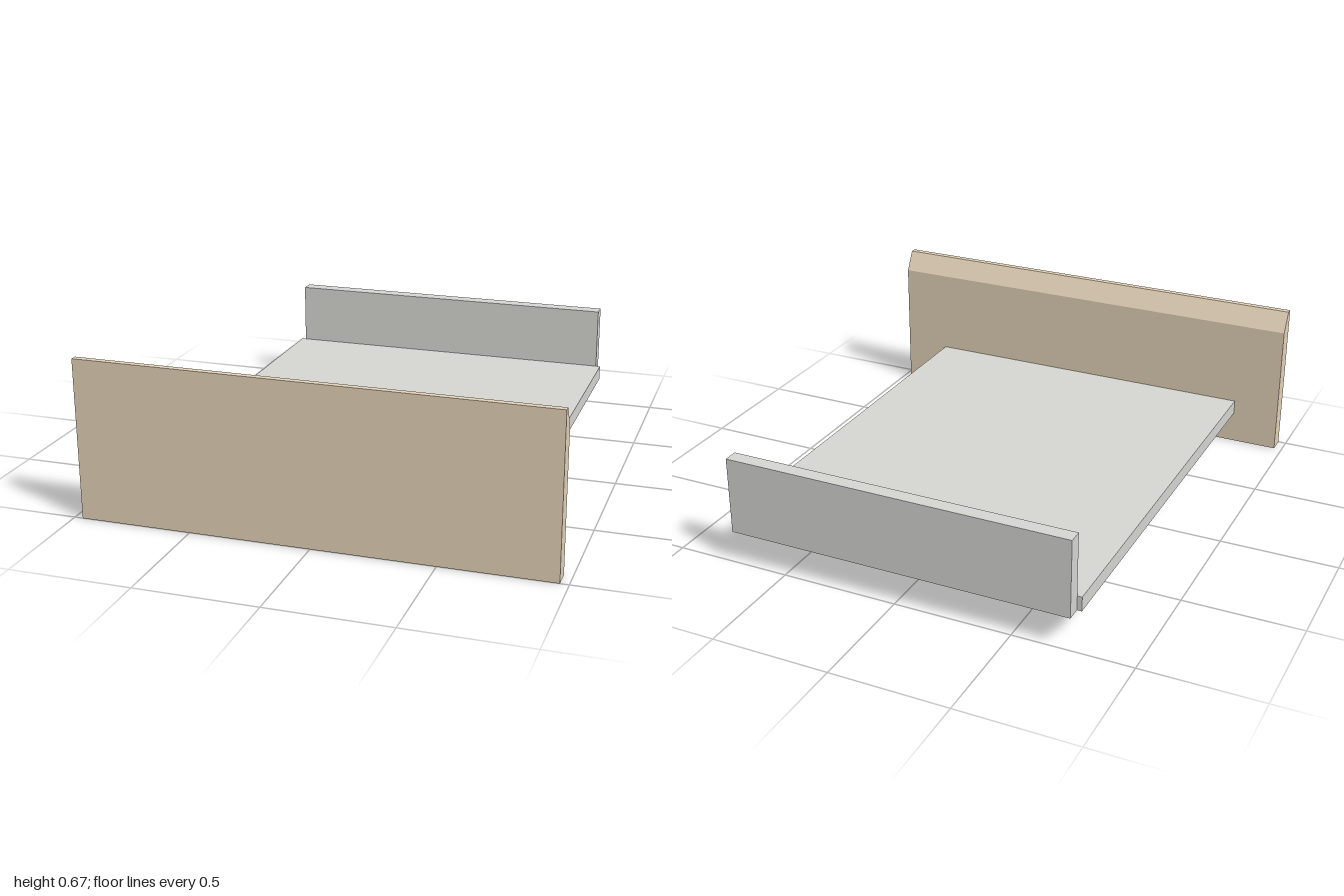
import * as THREE from 'three';

const wood = new THREE.MeshStandardMaterial({ name: 'pale tan wood', color: 0xe3d2b8 });
const grey = new THREE.MeshStandardMaterial({ name: 'light grey board', color: 0xd6d6d3 });

// Box given by its minimum and maximum corners
function board(name, [x0, y0, z0], [x1, y1, z1], material) {
  const mesh = new THREE.Mesh(new THREE.BoxGeometry(x1 - x0, y1 - y0, z1 - z0), material);
  mesh.name = name;
  mesh.position.set((x0 + x1) / 2, (y0 + y1) / 2, (z0 + z1) / 2);
  return mesh;
}

export function createModel() {
  const group = new THREE.Group();
  group.name = 'drawer';

  // Front panel: (z, y) profile with a bevelled grip along the rear top edge
  const profile = new THREE.Shape(
    [[0.926, 0], [1, 0], [1, 0.668], [0.973, 0.668], [0.926, 0.582]]
      .map(([z, y]) => new THREE.Vector2(z, y))
  );
  const width = 1.93;
  const frontGeometry = new THREE.ExtrudeGeometry(profile, { depth: width, bevelEnabled: false });
  frontGeometry.translate(0, 0, -width / 2);
  frontGeometry.rotateY(-Math.PI / 2);
  const front = new THREE.Mesh(frontGeometry, wood);
  front.name = 'frontPanel';
  group.add(front);

  // Base and the slightly narrower back
  group.add(board('basePanel', [-0.76, 0.141, -0.938], [0.76, 0.203, 0.926], grey));
  group.add(board('backPanel', [-0.74, 0.141, -1], [0.74, 0.472, -0.938], grey));

  return group;
}
